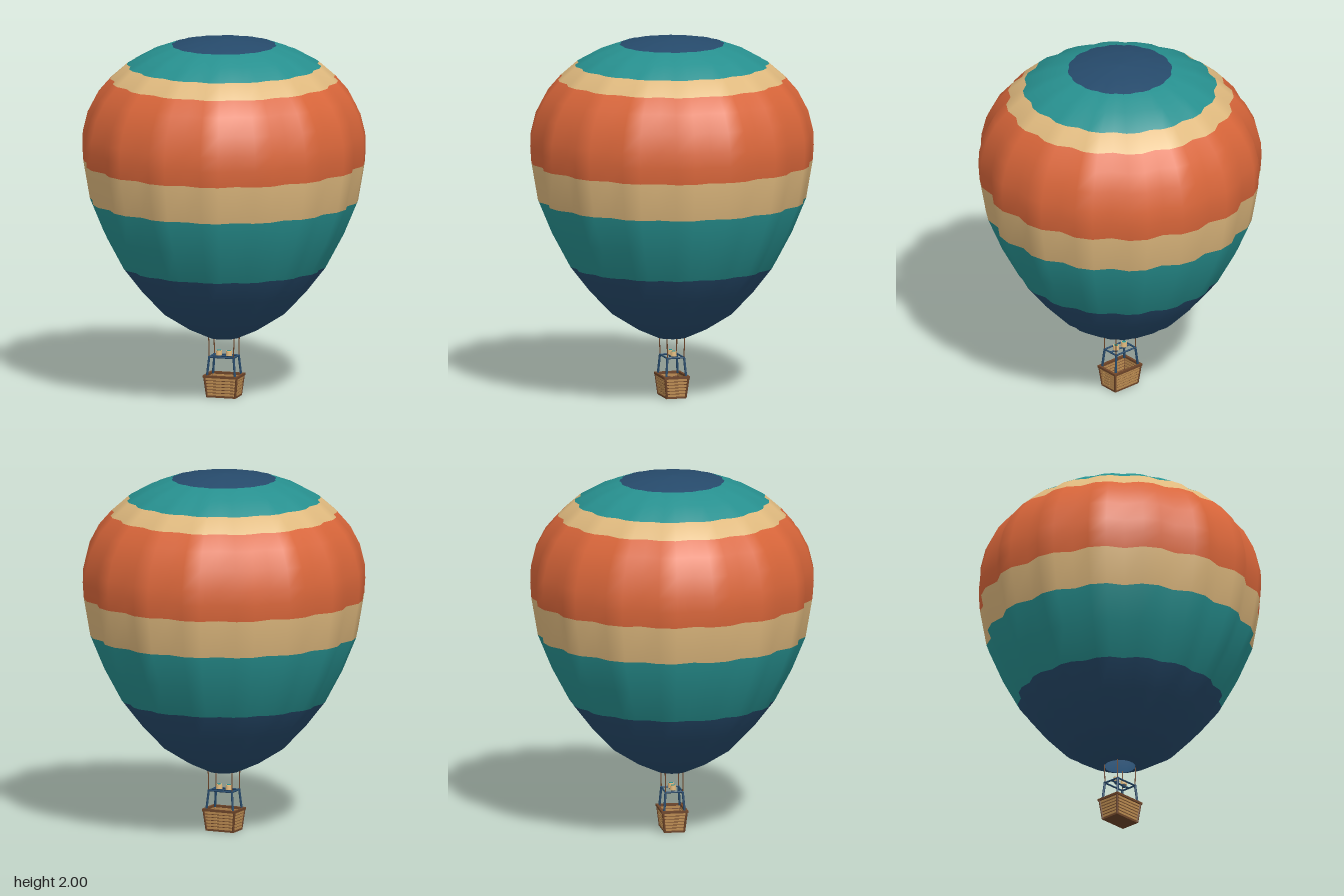
import * as THREE from 'three';

const mat = (name, color, side = THREE.FrontSide) => {
  const m = new THREE.MeshStandardMaterial({ color, side });
  m.name = name;
  return m;
};

export function createModel() {
  const navy = mat('navy', 0x264a6b, THREE.DoubleSide);
  const teal = mat('teal', 0x27908f, THREE.DoubleSide);
  const cream = mat('cream', 0xdfb97e, THREE.DoubleSide);
  const orange = mat('orange', 0xd9663a, THREE.DoubleSide);
  const wicker = mat('wicker', 0xb98a50);
  const brown = mat('dark brown', 0x6e4529, THREE.DoubleSide);

  const model = new THREE.Group();
  model.name = 'hotAirBalloon';

  const add = (parent, name, geometry, material, x = 0, y = 0, z = 0) => {
    const mesh = new THREE.Mesh(geometry, material);
    mesh.name = name;
    mesh.position.set(x, y, z);
    parent.add(mesh);
    return mesh;
  };
  const group = (name) => {
    const g = new THREE.Group();
    g.name = name;
    model.add(g);
    return g;
  };
  // Round bar between two points
  const bar = (parent, name, a, b, r, material) => {
    const from = new THREE.Vector3(...a), to = new THREE.Vector3(...b);
    const dir = to.clone().sub(from);
    const mesh = add(parent, name, new THREE.CylinderGeometry(r, r, dir.length(), 8), material);
    mesh.position.copy(from).add(to).multiplyScalar(0.5);
    mesh.quaternion.setFromUnitVectors(new THREE.Vector3(0, 1, 0), dir.normalize());
    return mesh;
  };

  // Envelope: 16 bulging gores, three facets each; radius and height per row
  const profile = [
    [0.085, 0.333], [0.2, 0.385], [0.335, 0.47], [0.458, 0.6], [0.565, 0.737],
    [0.66, 0.915], [0.738, 1.103], [0.774, 1.312], [0.78, 1.4], [0.777, 1.48],
    [0.75, 1.59], [0.698, 1.69], [0.627, 1.772], [0.535, 1.853],
    [0.415, 1.92], [0.288, 1.967], [0.15, 1.992], [0, 2],
  ];
  const cols = 48, pos = [], index = [];
  profile.forEach(([r, y]) => {
    const dip = 1 - 0.042 * Math.sqrt(r / 0.78);
    for (let j = 0; j < cols; j++) {
      const t = (j / cols) * Math.PI * 2, rr = j % 3 === 0 ? r * dip : r;
      pos.push(rr * Math.sin(t), y, rr * Math.cos(t));
    }
  });
  for (let i = 0; i < profile.length - 1; i++) {
    for (let j = 0; j < cols; j++) {
      const k = (j + 1) % cols;
      const a = i * cols + j, b = i * cols + k, c = b + cols, d = a + cols;
      index.push(a, b, c, a, c, d);
    }
  }
  const skin = new THREE.BufferGeometry();
  skin.setAttribute('position', new THREE.Float32BufferAttribute(pos, 3));
  skin.setIndex(index);
  skin.computeVertexNormals();
  // Colour bands as runs of rows: first row, last row, material slot
  const bands = [[0, 4, 0], [4, 6, 1], [6, 7, 2], [7, 12, 3], [12, 13, 2], [13, 15, 1], [15, 17, 0]];
  bands.forEach(([s, e, m]) => skin.addGroup(s * cols * 6, (e - s) * cols * 6, m));
  add(model, 'envelope', skin, [navy, teal, cream, orange]);

  // Basket: tapered open box with wicker slats
  const basket = group('basket');
  const halfX = (y) => 0.08 + 0.013 * (y / 0.12);
  const halfZ = (y) => 0.053 + 0.013 * (y / 0.12);
  const wall = new THREE.CylinderGeometry(Math.SQRT2, Math.SQRT2, 0.116, 4, 1, true).rotateY(Math.PI / 4).toNonIndexed();
  const p = wall.attributes.position;
  for (let i = 0; i < p.count; i++) {
    const y = p.getY(i) + 0.058;
    p.setXYZ(i, p.getX(i) * halfX(y), y, p.getZ(i) * halfZ(y));
  }
  wall.computeVertexNormals();
  add(basket, 'basketWall', wall, brown);
  add(basket, 'basketFloor', new THREE.BoxGeometry(0.166, 0.01, 0.112), brown, 0, 0.005, 0);
  const slats = 6;
  for (let i = 0; i < slats; i++) {
    const y = 0.018 + i * 0.0172;
    for (const s of [-1, 1]) {
      add(basket, 'slat', new THREE.BoxGeometry(halfX(y) * 2, 0.0125, 0.006), wicker, 0, y, s * halfZ(y));
      add(basket, 'slat', new THREE.BoxGeometry(0.006, 0.0125, halfZ(y) * 2), wicker, s * halfX(y), y, 0);
    }
  }
  for (const s of [-1, 1]) {
    add(basket, 'basketRim', new THREE.BoxGeometry(0.2, 0.013, 0.014), brown, 0, 0.118, s * 0.067);
    add(basket, 'basketRim', new THREE.BoxGeometry(0.014, 0.013, 0.148), brown, s * 0.093, 0.118, 0);
    for (const t of [-1, 1])
      bar(basket, 'basketCorner', [s * 0.08, 0.003, t * 0.053], [s * 0.093, 0.118, t * 0.066], 0.007, brown);
  }

  // Burner frame, uprights and suspension ropes
  const rigging = group('rigging');
  const fx = 0.07, fz = 0.048, fy = 0.225;
  for (const s of [-1, 1]) {
    bar(rigging, 'frameRail', [-fx - 0.006, fy, s * fz], [fx + 0.006, fy, s * fz], 0.005, navy);
    bar(rigging, 'frameRail', [s * fx, fy, -fz - 0.005], [s * fx, fy, fz + 0.005], 0.005, navy);
    for (const t of [-1, 1]) {
      bar(rigging, 'upright', [s * 0.081, 0.115, t * 0.057], [s * fx, fy, t * fz], 0.0065, navy);
      bar(rigging, 'rope', [s * fx, fy, t * fz], [s * 0.073, 0.345, t * 0.05], 0.003, brown);
    }
  }
  bar(rigging, 'burnerBar', [-fx, fy, 0], [fx, fy, 0], 0.005, navy);

  // Twin burners
  const burners = group('burners');
  for (const s of [-1, 1]) {
    add(burners, 'burnerCan', new THREE.CylinderGeometry(0.016, 0.018, 0.026, 16), cream, s * 0.029, 0.243, 0);
    add(burners, 'burnerMouth', new THREE.CylinderGeometry(0.011, 0.011, 0.004, 16), teal, s * 0.029, 0.256, 0);
    add(burners, 'burnerBase', new THREE.CylinderGeometry(0.012, 0.009, 0.014, 12), navy, s * 0.029, 0.223, 0);
  }
  return model;
}
